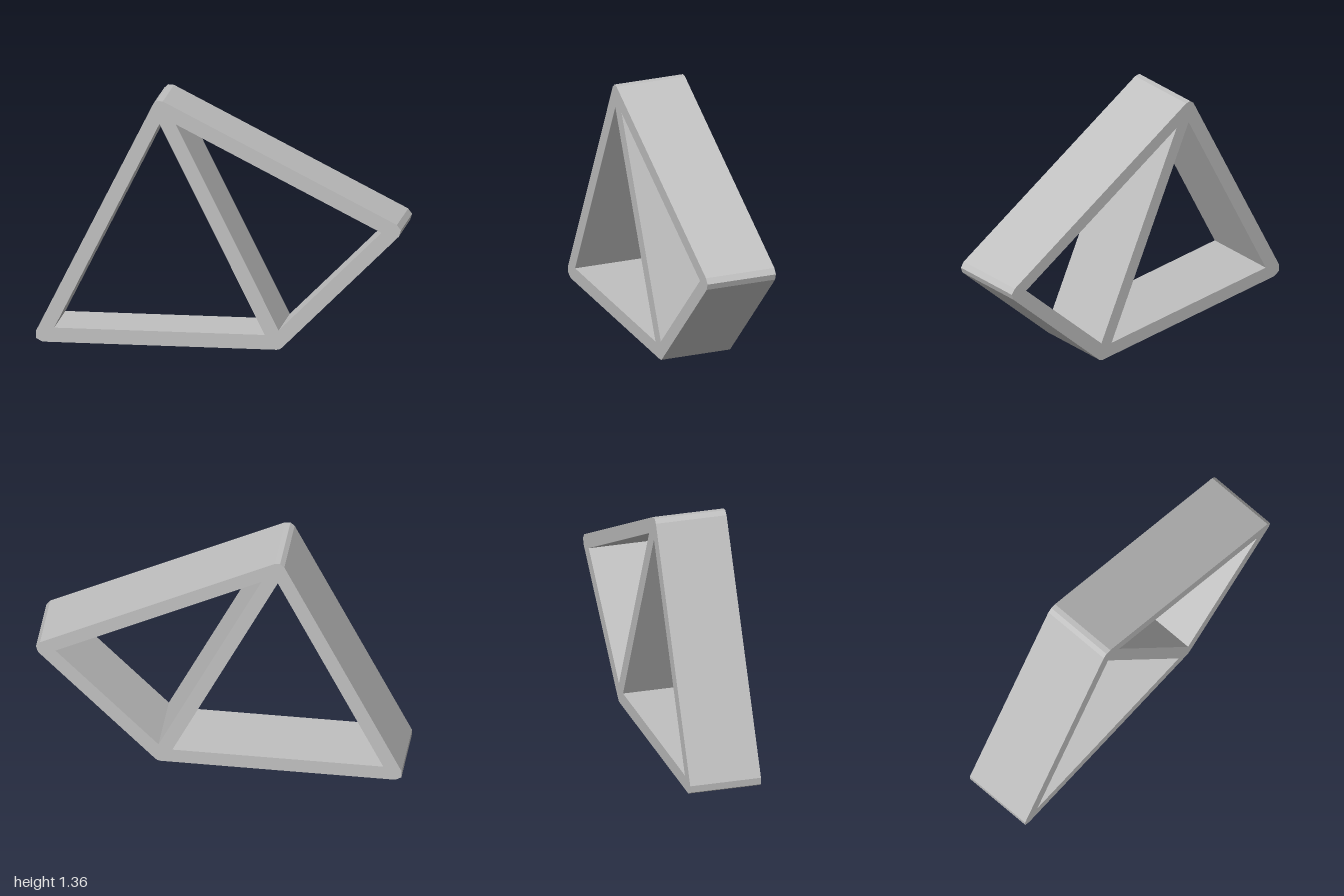
import * as THREE from 'three';

const BAR = 0.04;    // half the bar thickness, also the corner radius
const STEP = 0.6416; // layout unit of the joints
const DEPTH = 0.4;

// Outline of a counter-clockwise polygon grown by r, each corner cut in two facets
function roundedOutline(points, r) {
  const out = [];
  points.forEach((p, i) => {
    const prev = points[(i + points.length - 1) % points.length];
    const next = points[(i + 1) % points.length];
    const a = Math.atan2(p.y - prev.y, p.x - prev.x) - Math.PI / 2;
    let turn = Math.atan2(next.y - p.y, next.x - p.x) - Math.PI / 2 - a;
    if (turn < 0) turn += Math.PI * 2;
    for (let k = 0; k <= 2; k++) {
      const t = a + turn * k / 2;
      out.push(new THREE.Vector2(p.x + r * Math.cos(t), p.y + r * Math.sin(t)));
    }
  });
  return out;
}

// Sharp-cornered polygon shrunk by d
function insetPolygon(points, d) {
  return points.map((p, i) => {
    const u = points[(i + points.length - 1) % points.length].clone().sub(p).normalize();
    const v = points[(i + 1) % points.length].clone().sub(p).normalize();
    const sine = Math.abs(u.x * v.y - u.y * v.x);
    return u.add(v).multiplyScalar(d / sine).add(p);
  });
}

export function createModel() {
  const group = new THREE.Group();
  group.name = 'triangularFrame';

  const grey = new THREE.MeshStandardMaterial({ color: 0xc0c0c0 });
  grey.name = 'light grey';

  // Centre lines of the bars meet at four joints
  const x0 = -0.9642;
  const joint = (i, j) => new THREE.Vector2(x0 + i * STEP, BAR + j * STEP);
  const left = joint(0, 0), foot = joint(2, 0), tip = joint(3, 1), apex = joint(1, 2);

  // One extruded plate with two triangular openings
  const shape = new THREE.Shape(roundedOutline([left, foot, tip, apex], BAR));
  for (const triangle of [[left, foot, apex], [foot, tip, apex]]) {
    shape.holes.push(new THREE.Path(insetPolygon(triangle, BAR)));
  }
  const geometry = new THREE.ExtrudeGeometry(shape, { depth: DEPTH, bevelEnabled: false });
  geometry.translate(0, 0, -DEPTH / 2);

  const frame = new THREE.Mesh(geometry, grey);
  frame.name = 'frame';
  group.add(frame);
  return group;
}
